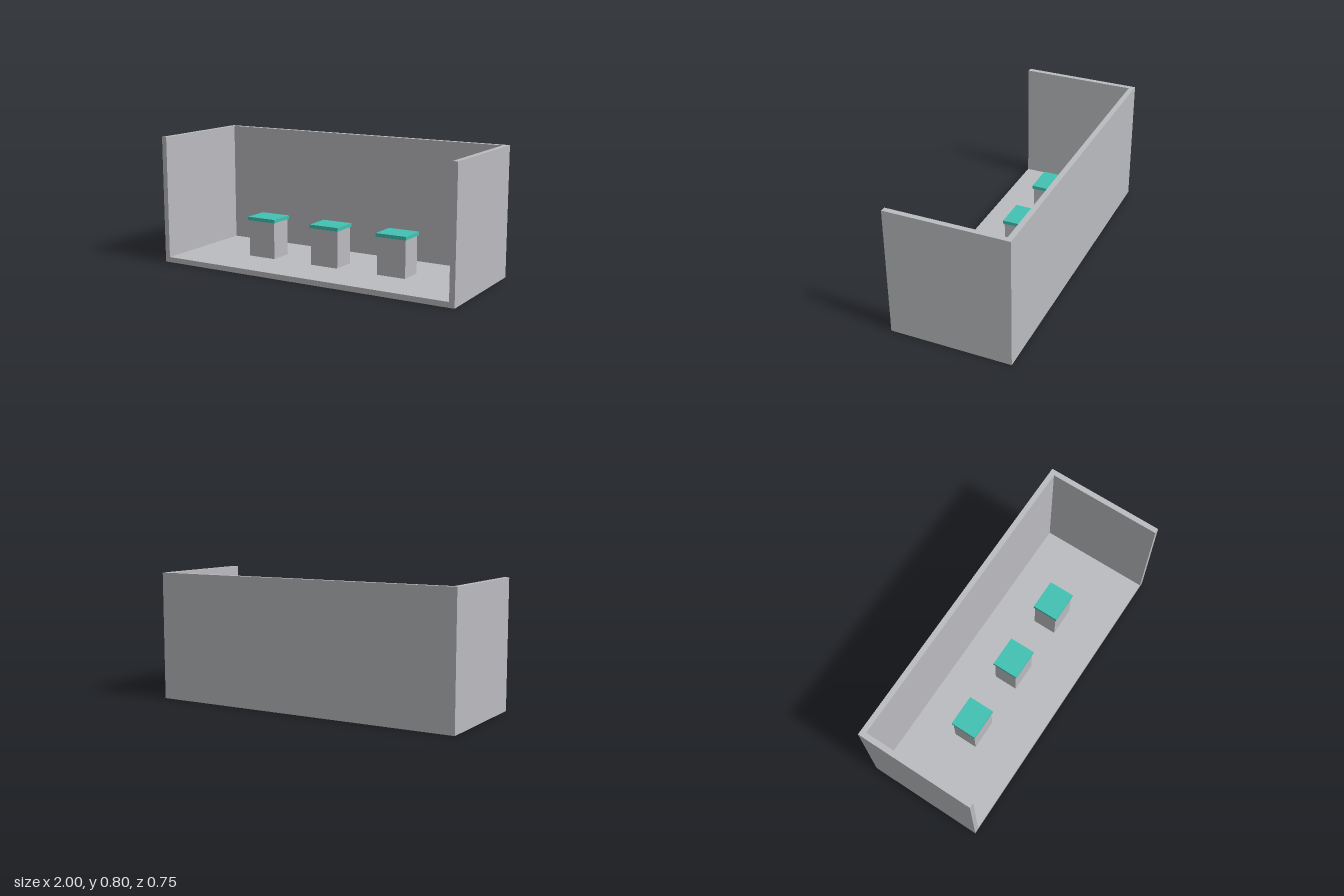
import * as THREE from 'three';

export function createModel() {
  const model = new THREE.Group();
  model.name = 'displayBooth';

  const grey = new THREE.MeshStandardMaterial({ color: 0xbbbcc0 });
  grey.name = 'grey panel';
  const teal = new THREE.MeshStandardMaterial({ color: 0x43c2b3 });
  teal.name = 'teal top';

  // Box given by its size, its centre in x and z, and its underside height
  function box(name, material, [w, h, d], x, y, z, parent = model) {
    const mesh = new THREE.Mesh(new THREE.BoxGeometry(w, h, d), material);
    mesh.name = name;
    mesh.position.set(x, y + h / 2, z);
    parent.add(mesh);
  }

  const width = 2, height = 0.8, depth = 0.747, wall = 0.033;
  const innerWidth = width - 2 * wall;

  // Shell: side walls run full depth, floor and back wall fit between them
  for (const [name, side] of [['leftWall', 1], ['rightWall', -1]]) {
    box(name, grey, [wall, height, depth], side * (width - wall) / 2, 0, 0);
  }
  box('floor', grey, [innerWidth, wall, depth], 0, 0, 0);
  box('backWall', grey, [innerWidth, height - wall, wall], 0, wall, -(depth - wall) / 2);

  // Three pedestals, each with a slightly overhanging top
  for (const x of [-0.46, 0, 0.46]) {
    const pedestal = new THREE.Group();
    pedestal.name = 'pedestal';
    pedestal.position.set(x, wall, 0);
    box('pedestalBody', grey, [0.187, 0.232, 0.153], 0, 0, 0, pedestal);
    box('pedestalTop', teal, [0.2, 0.022, 0.167], 0, 0.232, 0, pedestal);
    model.add(pedestal);
  }

  return model;
}
